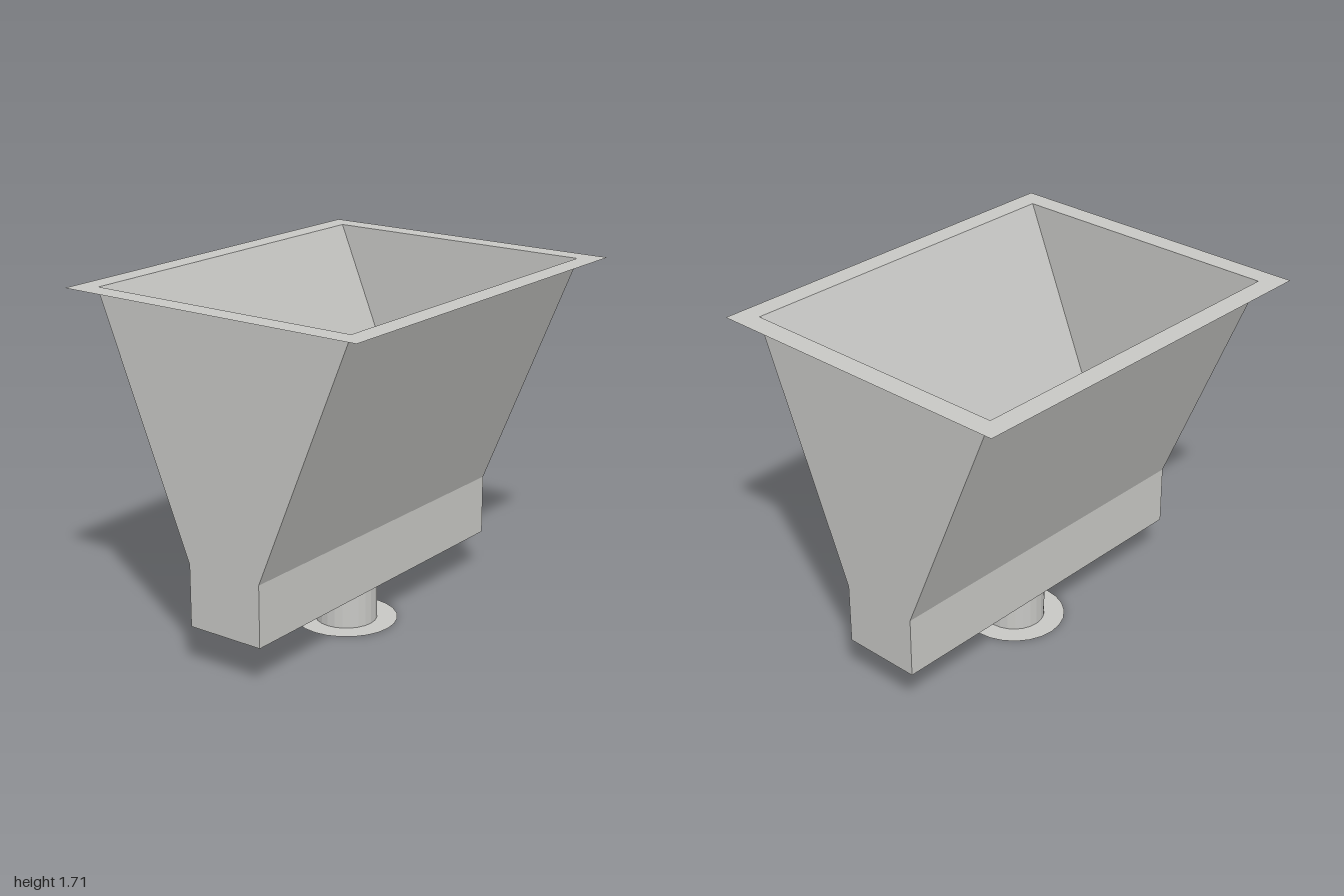
import * as THREE from 'three';

const SIDES = 24;
const FOOT = 0.21, KNEE = 0.51, RIM = 1.71; // heights
const HALF_W = 0.9, HALF_BASE = 0.2, HALF_MOUTH = 0.7;

const rectPoints = (w, d) => [[-w, -d], [w, -d], [w, d], [-w, d]].map(p => new THREE.Vector2(...p));
const circlePoints = r => Array.from({ length: SIDES }, (_, i) => {
  const a = (i / SIDES) * Math.PI * 2;
  return new THREE.Vector2(r * Math.cos(a), r * Math.sin(a));
});

// Flat horizontal sheet with an opening
function sheet(outline, opening) {
  const shape = new THREE.Shape(outline);
  shape.holes.push(new THREE.Path(opening));
  return new THREE.ShapeGeometry(shape).rotateX(-Math.PI / 2);
}

export function createModel() {
  const model = new THREE.Group();
  model.name = 'hopper';
  const steel = new THREE.MeshStandardMaterial({ color: 0xc8c8c5, side: THREE.DoubleSide });
  steel.name = 'sheet steel';

  const add = (name, geometry, y = 0) => {
    const mesh = new THREE.Mesh(geometry, steel);
    mesh.name = name;
    mesh.position.y = y;
    model.add(mesh);
  };

  // Front and back walls: sloped panel above a straight panel
  const run = HALF_MOUTH - HALF_BASE, rise = RIM - KNEE;
  for (const [side, turn] of [['front', 0], ['back', Math.PI]]) {
    add(side + 'Slope', new THREE.PlaneGeometry(HALF_W * 2, Math.hypot(run, rise))
      .rotateX(Math.atan2(run, rise))
      .translate(0, 0, (HALF_BASE + HALF_MOUTH) / 2)
      .rotateY(turn), (KNEE + RIM) / 2);
    add(side + 'LowerWall', new THREE.PlaneGeometry(HALF_W * 2, KNEE - FOOT)
      .translate(0, 0, HALF_BASE)
      .rotateY(turn), (FOOT + KNEE) / 2);
  }

  // Funnel-shaped end walls
  const end = new THREE.Shape([
    [-HALF_BASE, FOOT], [HALF_BASE, FOOT], [HALF_BASE, KNEE],
    [HALF_MOUTH, RIM], [-HALF_MOUTH, RIM], [-HALF_BASE, KNEE],
  ].map(p => new THREE.Vector2(...p)));
  for (const [name, s] of [['leftEnd', 1], ['rightEnd', -1]]) {
    add(name, new THREE.ShapeGeometry(end).translate(0, 0, HALF_W).rotateY(s * Math.PI / 2));
  }

  // Floor with outlet hole, and rim flange around the mouth
  add('floor', sheet(rectPoints(HALF_W, HALF_BASE), circlePoints(0.15)), FOOT);
  add('rimFlange', sheet(rectPoints(1, 0.8), rectPoints(HALF_W - 0.004, HALF_MOUTH - 0.004)), RIM);

  // Faceted outlet pipe with its round flange
  const pipe = new THREE.CylinderGeometry(0.15, 0.15, FOOT, SIDES, 1, true).toNonIndexed();
  pipe.computeVertexNormals();
  add('outletPipe', pipe, FOOT / 2);
  add('outletFlange', sheet(circlePoints(0.25), circlePoints(0.15)), 0);

  return model;
}
